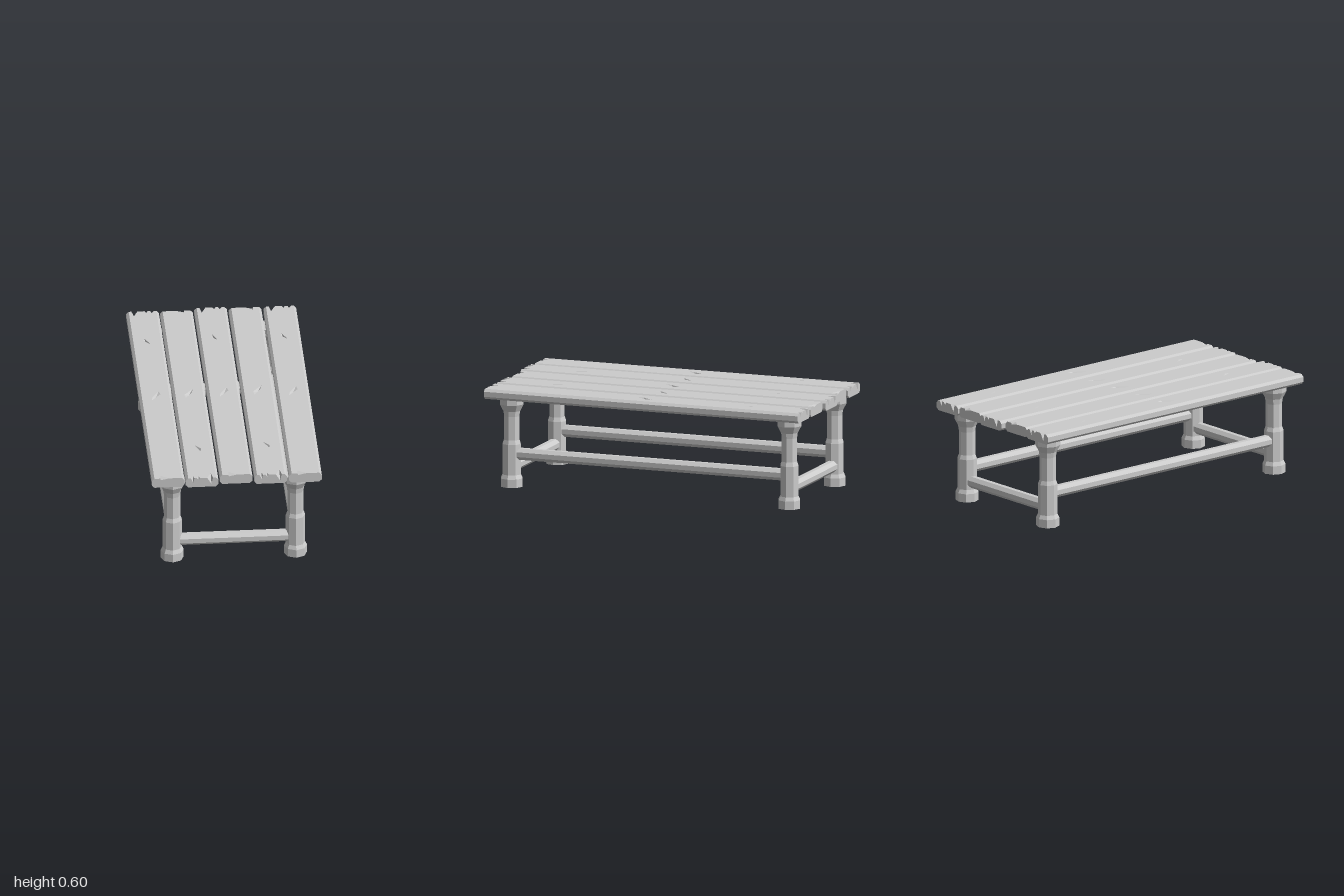
import * as THREE from 'three';
import { mergeGeometries } from 'three/addons/utils/BufferGeometryUtils.js';

const material = new THREE.MeshStandardMaterial({ color: 0xcccccc, flatShading: true });
const V2 = (x, y) => new THREE.Vector2(x, y);

function addMesh(parent, name, geometry, x, y, z) {
  const mesh = new THREE.Mesh(geometry, material);
  mesh.name = name;
  mesh.position.set(x, y, z);
  parent.add(mesh);
  return mesh;
}

// Flat-shaded triangles from a list of [x, y, z] corners
function triangles(corners) {
  const g = new THREE.BufferGeometry();
  g.setAttribute('position', new THREE.Float32BufferAttribute(corners.flat(), 3));
  return g;
}

function bare(geometry) {
  const g = geometry.index ? geometry.toNonIndexed() : geometry;
  g.deleteAttribute('uv');
  g.deleteAttribute('normal');
  return g;
}

// Plank dimensions: half width, half height, half length, bevel
const W = 0.096, H = 0.03, L = 0.9875, C = 0.015;

// Splits in the plank ends: left, right, tip x, tip depth along plank, drop on end face
const splits = [
  { a: -0.066, b: -0.045, t: -0.052, depth: 0.025, drop: 0.03 },
  { a: -0.03, b: -0.01, t: -0.02, depth: 0.02, drop: 0.014 },
  { a: 0.03, b: 0.065, t: 0.055, depth: 0.055, drop: 0.042 },
];
const chip = [{ a: -0.046, b: 0.004, t: -0.043, depth: 0.035, drop: 0.011 }];

// Gouges in the top as [x, z] corners, anticlockwise from above
const gouges = [
  [[0.026, -0.065], [-0.03, 0.005], [-0.022, 0.04], [0.018, -0.025]],
  [[-0.015, 0.6], [0.015, 0.67], [0.02, 0.64]],
];

// End face with its wedge-shaped splits, facing +z
function plankEnd(notches) {
  const outline = [V2(-W + C, -H), V2(W - C, -H), V2(W, -H + C), V2(W, H - C), V2(W - C, H)];
  const walls = [];
  for (const n of [...notches].reverse()) {
    outline.push(V2(n.b, H), V2(n.t, H - n.drop), V2(n.a, H));
  }
  for (const n of notches) {
    const A = [n.a, H, L], B = [n.b, H, L], T = [n.t, H, L - n.depth], D = [n.t, H - n.drop, L];
    walls.push(A, D, T, B, T, D);
  }
  outline.push(V2(-W + C, H), V2(-W, H - C), V2(-W, -H + C));
  const cap = new THREE.ShapeGeometry(new THREE.Shape(outline)).translate(0, 0, L);
  return mergeGeometries([bare(cap), triangles(walls)]);
}

// Top outline along one end, as (x, z) pairs from left to right
function endEdge(notches) {
  const pts = [[-W + C, L]];
  for (const n of notches) pts.push([n.a, L], [n.t, L - n.depth], [n.b, L]);
  pts.push([W - C, L]);
  return pts;
}

function plankGeometry() {
  const parts = [plankEnd(splits), plankEnd(chip).rotateY(Math.PI)];

  // Top face with splits and gouges cut out
  const edge = [...endEdge(splits), ...endEdge(chip).map(([x, z]) => [-x, -z])];
  const top = new THREE.Shape(edge.map(([x, z]) => V2(x, -z)));
  const pits = [];
  for (const gouge of gouges) {
    top.holes.push(new THREE.Path(gouge.map(([x, z]) => V2(x, -z))));
    const mid = [0, 1].map((k) => gouge.reduce((sum, p) => sum + p[k], 0) / gouge.length);
    gouge.forEach(([x, z], i) => {
      const [x2, z2] = gouge[(i + 1) % gouge.length];
      pits.push([x, H, z], [x2, H, z2], [mid[0], H - 0.015, mid[1]]);
    });
  }
  parts.push(bare(new THREE.ShapeGeometry(top).rotateX(-Math.PI / 2).translate(0, H, 0)), triangles(pits));

  // Bevelled sides and underside
  const section = [[-W + C, H], [-W, H - C], [-W, -H + C], [-W + C, -H],
    [W - C, -H], [W, -H + C], [W, H - C], [W - C, H]];
  const sides = [];
  for (let i = 0; i < section.length - 1; i++) {
    const p = section[i], q = section[i + 1];
    sides.push([...p, -L], [...q, -L], [...q, L], [...p, -L], [...q, L], [...p, L]);
  }
  parts.push(triangles(sides));

  const g = mergeGeometries(parts);
  g.computeVertexNormals();
  return g;
}

// Eight-sided rail with a flat on top, lying along x or z
function railGeometry(length, axis) {
  const r = 0.034 / Math.cos(Math.PI / 8);
  const g = new THREE.CylinderGeometry(r, r, length, 8, 1, false, Math.PI / 8);
  return axis === 'x' ? g.rotateZ(Math.PI / 2) : g.rotateX(Math.PI / 2);
}

export function createModel() {
  const table = new THREE.Group();
  table.name = 'plankTable';

  // Table top: five planks, alternately turned end for end
  const plank = plankGeometry();
  const layout = [[-0.404, 0.0025, true], [-0.206, 0.0125, false], [-0.004, -0.0125, true],
    [0.198, 0.0025, false], [0.402, 0.0025, true]];
  layout.forEach(([x, z, turned], i) => {
    const mesh = addMesh(table, `plank${i + 1}`, plank, x, 0.567, z);
    if (turned) mesh.rotation.y = Math.PI;
  });

  // Turned octagonal legs
  const profile = [[0, 0], [0.068, 0], [0.068, 0.05], [0.057, 0.073], [0.057, 0.255],
    [0.048, 0.28], [0.048, 0.42], [0.053, 0.452], [0.075, 0.493], [0.075, 0.535], [0, 0.535]];
  const leg = new THREE.LatheGeometry(profile.map(([r, y]) => V2(r, y)), 8);
  const legX = { right: -0.372, left: 0.352 };
  const legZ = { Front: 0.872, Back: -0.875 };
  for (const [side, x] of Object.entries(legX)) {
    for (const [end, z] of Object.entries(legZ)) addMesh(table, `${side}${end}Leg`, leg, x, 0, z);
  }

  // Low rails across the ends, higher rails along the sides
  const shortRail = railGeometry(0.67, 'x');
  const longRail = railGeometry(1.7, 'z');
  for (const [end, z] of Object.entries(legZ)) addMesh(table, `end${end}Rail`, shortRail, -0.01, 0.119, z);
  for (const [side, x] of Object.entries(legX)) addMesh(table, `${side}SideRail`, longRail, x, 0.197, 0);

  return table;
}
